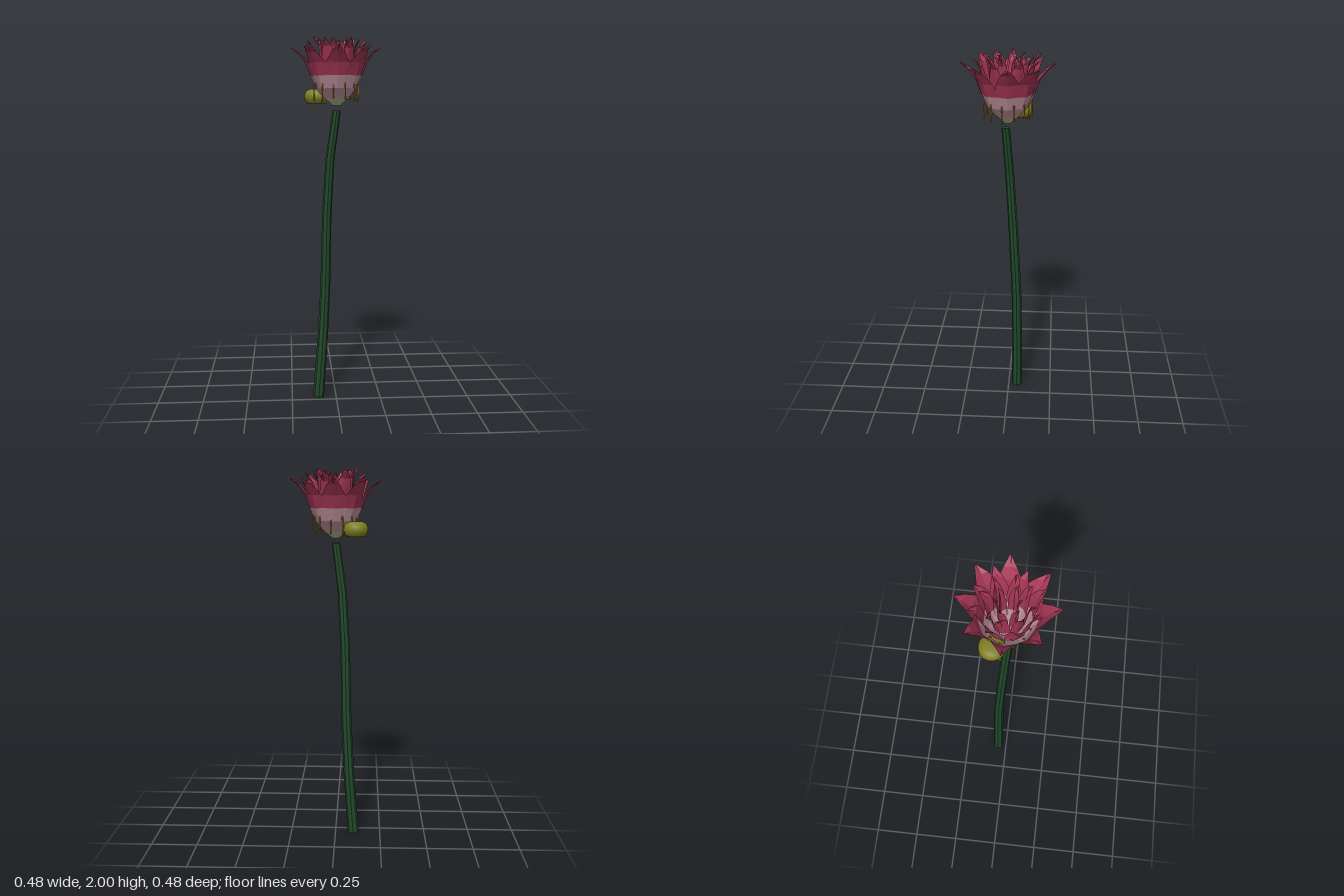
import * as THREE from 'three';

const DS = THREE.DoubleSide;
const material = (name, color, flatShading = true, side = THREE.FrontSide) =>
  Object.assign(new THREE.MeshStandardMaterial({ color, flatShading, side }), { name });

export function createModel() {
  const mats = {
    crimson: material('crimson', 0xa53655, true, DS),
    palePink: material('palePink', 0xc294a0, true, DS),
    paleGreen: material('paleGreen', 0xb4b490, true, DS),
    stem: material('stemGreen', 0x21482a),
    pod: material('olive', 0x7f7f22, false),
    filament: material('amber', 0xb58420),
    anther: material('brown', 0x85600f),
  };
  const model = new THREE.Group();
  model.name = 'flower';
  const add = (parent, name, geo, mat) => {
    const mesh = new THREE.Mesh(geo, mat);
    mesh.name = name;
    parent.add(mesh);
    return mesh;
  };
  let seed = 7;
  const rand = () => (seed = (seed * 16807) % 2147483647) / 2147483647 - 0.5;

  // Stem: a tapered cylinder bent along a path of [y, x, z]
  const path = [[0, -0.1, -0.05], [0.35, -0.075, -0.05], [0.65, -0.06, -0.046],
    [1.05, -0.052, -0.026], [1.36, -0.035, -0.008], [1.62, 0, 0.011]];
  const stem = new THREE.CylinderGeometry(0.022, 0.031, 1.61, 8, path.length - 1);
  stem.translate(0, 0.81, 0);
  const sp = stem.attributes.position;
  for (let i = 0; i < sp.count; i++) {
    const k = Math.round(((sp.getY(i) - 0.005) / 1.61) * (path.length - 1));
    const [y, x, z] = path[k];
    sp.setXYZ(i, sp.getX(i) + x, Math.max(y, 0.004 + (k ? 0 : sp.getX(i) * -0.1)), sp.getZ(i) + z);
  }
  add(model, 'stem', stem, mats.stem);

  // A ring of petals; each row of the profile is [radius, height, half width]
  function petalRing(name, count, turn, rows, jitter) {
    const ring = new THREE.Group();
    ring.name = name;
    const petals = [];
    for (let p = 0; p < count; p++) {
      const a = turn + (p / count) * Math.PI * 2 + rand() * jitter;
      const lift = rand() * jitter * 0.12, reach = 1 + rand() * jitter * 0.35, twist = rand() * jitter;
      petals.push(rows.map(([r0, y0, w], k) => {
        const t = k / (rows.length - 1);
        const r = r0 * (1 + (reach - 1) * t), y = Math.min(2, y0 + lift * t * t);
        return [-1, 0, 1].map((s) => {
          const b = a + (s * Math.min(w / r, 0.95));
          const rr = r * (s ? 0.98 + s * twist * t : 1);
          return [Math.cos(b) * rr, Math.min(2, y + (s ? 0.006 * t : 0)), Math.sin(b) * rr];
        });
      }));
    }
    // Colour bands from the base to the tip
    const bands = [['Base', 0, 1, mats.paleGreen], ['Claw', 1, 3, mats.palePink],
      ['Blade', 3, rows.length - 1, mats.crimson]];
    for (const [part, from, to, mat] of bands) {
      const pos = [];
      for (const petal of petals) {
        for (let k = from; k < to; k++) {
          for (let c = 0; c < 2; c++) {
            const A = petal[k][c], B = petal[k][c + 1], C = petal[k + 1][c], D = petal[k + 1][c + 1];
            pos.push(...A, ...C, ...B, ...B, ...C, ...D);
          }
        }
      }
      const geo = new THREE.BufferGeometry();
      geo.setAttribute('position', new THREE.Float32BufferAttribute(pos, 3));
      geo.computeVertexNormals();
      add(ring, name + part, geo, mat);
    }
    model.add(ring);
  }

  petalRing('outerPetals', 8, 0, [[0.018, 1.645, 0.012], [0.065, 1.685, 0.03], [0.108, 1.735, 0.052],
    [0.138, 1.8, 0.066], [0.162, 1.865, 0.062], [0.198, 1.915, 0.033], [0.24, 1.945, 0.006]], 0.08);
  petalRing('middlePetals', 8, Math.PI / 8, [[0.016, 1.65, 0.01], [0.055, 1.69, 0.026], [0.09, 1.74, 0.04],
    [0.112, 1.8, 0.048], [0.125, 1.875, 0.045], [0.143, 1.94, 0.026], [0.172, 1.975, 0.005]], 0.22);
  petalRing('innerPetals', 8, 0.1, [[0.014, 1.655, 0.01], [0.045, 1.695, 0.022], [0.068, 1.745, 0.032],
    [0.082, 1.8, 0.037], [0.09, 1.88, 0.034], [0.1, 1.95, 0.02], [0.122, 1.99, 0.005]], 0.3);
  petalRing('heartPetals', 6, 0.35, [[0.012, 1.66, 0.01], [0.03, 1.7, 0.02], [0.04, 1.75, 0.026],
    [0.046, 1.8, 0.029], [0.048, 1.88, 0.027], [0.052, 1.95, 0.018], [0.066, 1.985, 0.005]], 0.35);

  // Stamens hanging around the cup
  const stamens = new THREE.Group();
  stamens.name = 'stamens';
  const count = 12;
  for (let i = 0; i < count; i++) {
    const a = ((i + 0.4) / count) * Math.PI * 2;
    const r = 0.115 + (i % 3 - 1) * 0.008, low = 1.675 + (i % 4) * 0.006;
    const at = (radius, y) => new THREE.Vector3(Math.cos(a) * radius, y, Math.sin(a) * radius);
    const curve = new THREE.CatmullRomCurve3([at(r - 0.012, 1.745), at(r, 1.768), at(r + 0.004, 1.74), at(r + 0.003, low)]);
    add(stamens, 'filament', new THREE.TubeGeometry(curve, 6, 0.0035, 5), mats.filament);
    const anther = add(stamens, 'anther', new THREE.CylinderGeometry(0.004, 0.006, 0.02, 6), mats.anther);
    anther.position.copy(at(r + 0.003, low));
  }
  model.add(stamens);

  // Rounded seed pod with flat ends, tucked beside the cup
  const profile = [[0, 0], [0.046, 0], [0.058, 0.012], [0.065, 0.032], [0.063, 0.052], [0.052, 0.07],
    [0.03, 0.078], [0, 0.076]].map(([x, y]) => new THREE.Vector2(x, y));
  add(model, 'seedPod', new THREE.LatheGeometry(profile, 20), mats.pod).position.set(-0.106, 1.656, -0.062);

  return model;
}
